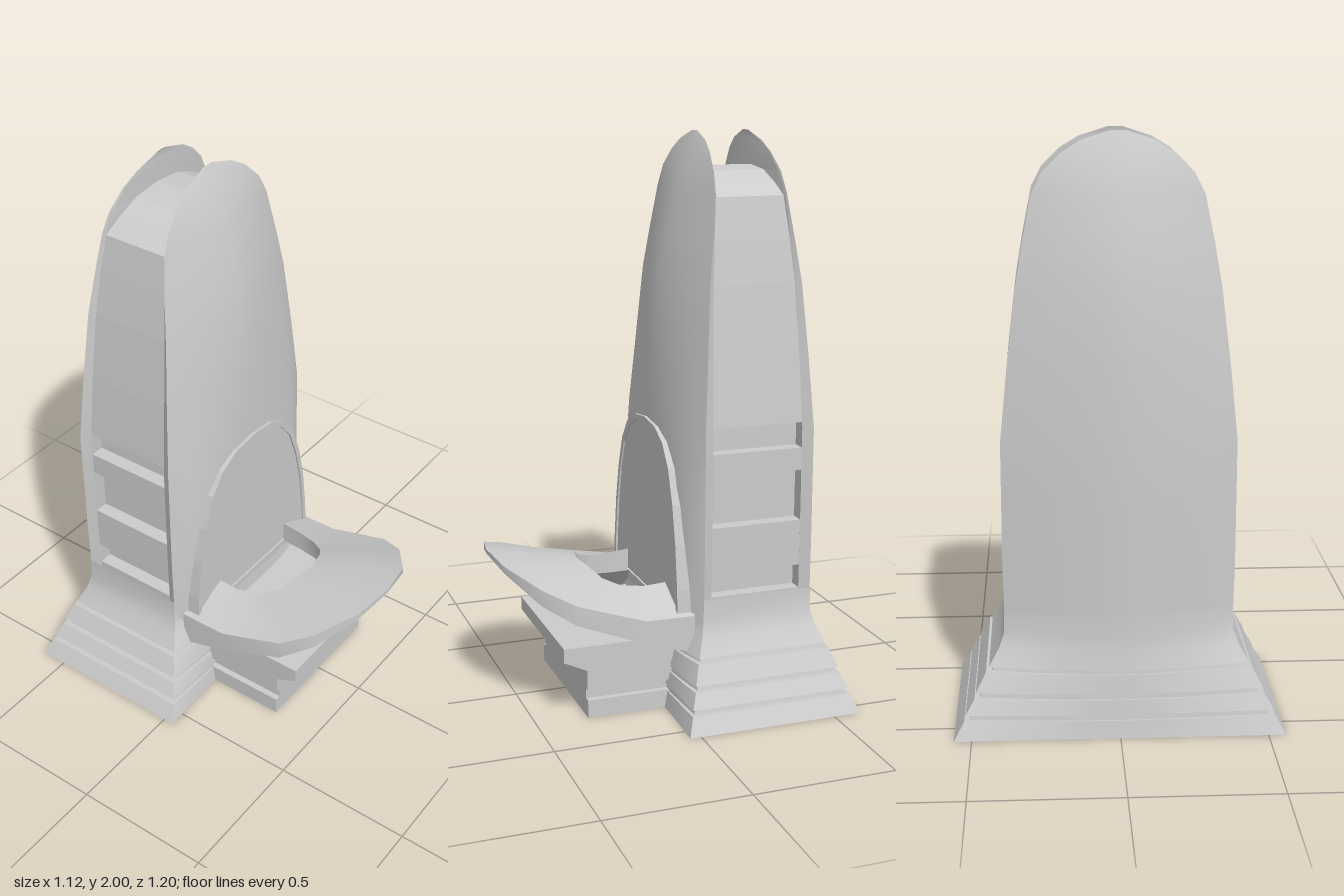
import * as THREE from 'three';
import { toCreasedNormals } from 'three/addons/utils/BufferGeometryUtils.js';

const MID = -0.275; // z of the tower's centre plane
const material = new THREE.MeshStandardMaterial({ color: 0xcccccc, side: THREE.DoubleSide });

// Facade rows: y, half width, z at centre, z at edge, z of inner face, bulge exponent
const ROWS = [
  [0.31, 0.385, -0.006, -0.075, -0.11, 6],
  [0.6, 0.39, -0.003, -0.075, -0.11, 6],
  [0.8, 0.39, -0.002, -0.075, -0.11, 4.5],
  [1.0, 0.39, -0.002, -0.075, -0.11, 2.6],
  [1.25, 0.365, -0.014, -0.09, -0.116, 1.8],
  [1.5, 0.335, -0.03, -0.107, -0.127, 1.7],
  [1.65, 0.31, -0.06, -0.126, -0.138, 1.7],
  [1.8, 0.28, -0.095, -0.145, -0.152, 1.7],
  [1.87, 0.245, -0.118, -0.152, -0.158, 1.7],
  [1.93, 0.185, -0.143, -0.163, -0.166, 1.7],
  [1.97, 0.12, -0.162, -0.172, -0.174, 1.7],
  [2.0, 0.025, -0.177, -0.179, -0.18, 1.7],
];

// Interpolates one column of the facade rows at height y
function rowAt(y, col) {
  for (let i = 1; i < ROWS.length; i++) {
    const a = ROWS[i - 1], b = ROWS[i];
    if (y <= b[0]) return THREE.MathUtils.lerp(a[col], b[col], Math.max(0, (y - a[0]) / (b[0] - a[0])));
  }
  return ROWS[ROWS.length - 1][col];
}

// Skins a list of closed cross-sections
function loft(sections, crease = 0.6) {
  const n = sections[0].length, index = [];
  for (let i = 0; i < sections.length - 1; i++) {
    for (let j = 0; j < n; j++) {
      const k = (j + 1) % n, a = i * n + j, b = i * n + k;
      index.push(a, b, b + n, a, b + n, a + n);
    }
  }
  const geo = new THREE.BufferGeometry();
  geo.setAttribute('position', new THREE.Float32BufferAttribute(sections.flat(2), 3));
  geo.setIndex(index);
  return toCreasedNormals(geo, crease);
}

function add(parent, name, geo) {
  const mesh = new THREE.Mesh(geo, material);
  mesh.name = name;
  parent.add(mesh);
  return mesh;
}

// Bowed line of points from x = -w to x = w
function bow(y, w, zc, ze, p, n = 20) {
  return Array.from({ length: n + 1 }, (_, i) => {
    const u = (2 * i) / n - 1;
    return [u * w, y, zc + (ze - zc) * Math.abs(u) ** p];
  });
}

function facade(back) {
  return loft(ROWS.map(([y, w, zc, ze, zi, p]) => {
    const outer = bow(y, w, zc, ze, back ? 1.6 : p);
    const ring = [...outer, [w * 0.95, y, zi], [-w * 0.95, y, zi]];
    return back ? ring.reverse().map(([x, h, z]) => [x, h, 2 * MID - z]) : ring;
  }));
}

// Core between the facades, with recessed bands on both sides and an arched roof
function core() {
  const bands = [[0.42, 0.505], [0.67, 0.85], [0.93, 1.02]], depth = 0.05;
  const half = (y) => rowAt(y, 1) * 0.95;
  const side = [[half(0.33), 0.33]];
  for (const [a, b] of bands) {
    side.push([half(a), a], [half(a) - depth, a], [half(b) - depth, b], [half(b), b]);
  }
  for (const y of [1.25, 1.5, 1.65, 1.79]) side.push([half(y), y]);
  side.push([0.2, 1.83], [0.11, 1.868], [0, 1.88]);
  const mirrored = side.slice(0, -1).reverse().map(([x, y]) => [-x, y]);
  const shape = new THREE.Shape([...side, ...mirrored].map(([x, y]) => new THREE.Vector2(x, y)));
  const geo = new THREE.ExtrudeGeometry(shape, { depth: 1, bevelEnabled: false });
  const pos = geo.attributes.position;
  for (let i = 0; i < pos.count; i++) {
    const d = rowAt(pos.getY(i), 4) - MID + 0.004;
    pos.setZ(i, MID + (pos.getZ(i) * 2 - 1) * d);
  }
  geo.computeVertexNormals();
  return geo;
}

// Flared base: grooved tiers that straighten out toward the ground
function base() {
  const profile = [
    [0, 0.56], [0.06, 0.525], [0.06, 0.505], [0.08, 0.5], [0.08, 0.52],
    [0.13, 0.49], [0.13, 0.47], [0.15, 0.465], [0.15, 0.485],
    [0.215, 0.45], [0.215, 0.43], [0.23, 0.425], [0.23, 0.44],
    [0.29, 0.405], [0.34, 0.388], [0.42, 0.386],
  ];
  return loft(profile.map(([y, w]) => {
    const t = (w - 0.385) / 0.175;
    return [
      ...bow(y, w, -0.008 + 0.038 * t, -0.075 + 0.115 * t, 3),
      ...bow(y, w, -0.55 - 0.05 * t, -0.476 - 0.124 * t, 1.6).reverse(),
    ];
  }), 0.5);
}

// Horseshoe canopy; each rib: outer x, z, top, bottom, then inner x, z, top, bottom
function canopy() {
  const ribs = [
    [0.365, -0.05, 0.36, 0.225, 0.205, -0.05, 0.44, 0.35],
    [0.365, 0.13, 0.362, 0.28, 0.2, 0.08, 0.43, 0.35],
    [0.35, 0.37, 0.44, 0.37, 0.18, 0.16, 0.435, 0.36],
    [0.285, 0.475, 0.487, 0.43, 0.14, 0.215, 0.455, 0.39],
    [0.15, 0.57, 0.54, 0.515, 0.09, 0.248, 0.485, 0.44],
    [0, 0.597, 0.56, 0.545, 0, 0.265, 0.492, 0.46],
  ];
  const mirrored = ribs.slice(0, -1).reverse().map((r) => r.map((v, i) => (i % 4 === 0 ? -v : v)));
  return loft([...ribs, ...mirrored].map(([ox, oz, ot, ob, ix, iz, it, ib]) =>
    [[ox, ob, oz], [ox, ot, oz], [ix, it, iz], [ix, ib, iz]]), 0.7);
}

// Arch outline scaled about its foot
function archPoints(grow) {
  const side = [[0.33, 0.36], [0.325, 0.45], [0.305, 0.6], [0.275, 0.73], [0.23, 0.85], [0.17, 0.925], [0.09, 0.965], [0, 0.977]];
  const right = side.map(([x, y]) => [x ? x + grow : 0, y + (y > 0.4 ? grow * (y - 0.36) / 0.6 : 0)]);
  const left = right.slice(0, -1).reverse().map(([x, y]) => [-x, y]);
  return [...right, ...left].map(([x, y]) => new THREE.Vector2(x, y));
}

function plate(shape, z0, z1) {
  return new THREE.ExtrudeGeometry(shape, { depth: z1 - z0, bevelEnabled: false }).translate(0, 0, z0);
}

// Solid with a side profile in (z, y), extruded across x
function across(points, half) {
  const shape = new THREE.Shape(points.map(([z, y]) => new THREE.Vector2(-z, y)));
  return new THREE.ExtrudeGeometry(shape, { depth: 2 * half, bevelEnabled: false })
    .translate(0, 0, -half).rotateY(Math.PI / 2);
}

export function createModel() {
  const model = new THREE.Group();
  model.name = 'tower';

  add(model, 'frontFacade', facade(false));
  add(model, 'backFacade', facade(true));
  add(model, 'core', core());
  add(model, 'base', base());

  // Arched portal on the front
  const portal = new THREE.Group();
  portal.name = 'portal';
  model.add(portal);
  const frame = new THREE.Shape(archPoints(0.017));
  frame.holes.push(new THREE.Path(archPoints(0)));
  add(portal, 'portalFrame', plate(frame, -0.06, 0.008));
  add(portal, 'portalPanel', plate(new THREE.Shape(archPoints(0.002)), -0.05, 0.001));

  add(model, 'canopy', canopy());

  // Entrance block: body with side grooves under an overhanging slab
  const entrance = new THREE.Group();
  entrance.name = 'entrance';
  model.add(entrance);
  const block = (y0, y1, half) => across([[-0.04, y0], [0.315, y0], [0.315, y1], [-0.04, y1]], half);
  add(entrance, 'entranceFoot', block(0, 0.065, 0.285));
  add(entrance, 'entranceGroove', block(0.065, 0.1, 0.262));
  add(entrance, 'entranceBody', block(0.1, 0.175, 0.28));
  add(entrance, 'entranceSlab', across(
    [[-0.04, 0.175], [0.315, 0.175], [0.4, 0.215], [0.4, 0.265], [-0.04, 0.265]], 0.285));

  return model;
}
